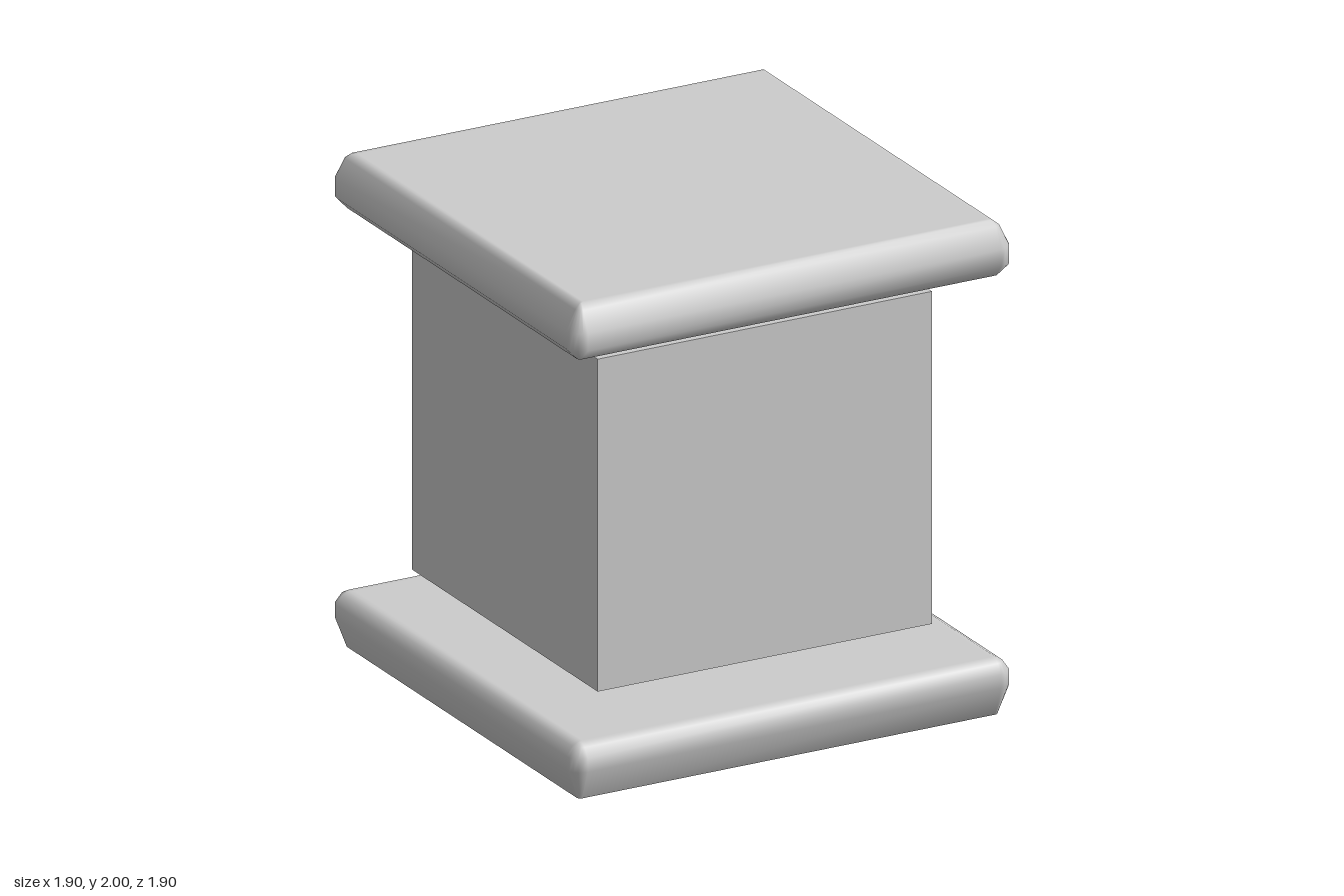
import * as THREE from 'three';

const material = new THREE.MeshStandardMaterial({ color: 0xcccccc });
const CORNER_STEPS = 5;
const CORE = 0.89; // centre of every corner arc, shared by all the loops

// Rounded-square loop with half-width w
function loop(w, y) {
  const core = Math.min(CORE, w - 0.005);
  const r = w - core;
  const points = [];
  for (let c = 0; c < 4; c++) {
    const mid = (c + 0.5) * Math.PI / 2;
    for (let s = 0; s <= CORNER_STEPS; s++) {
      const a = (c + s / CORNER_STEPS) * Math.PI / 2;
      points.push([
        Math.sign(Math.cos(mid)) * core + r * Math.cos(a),
        y,
        Math.sign(Math.sin(mid)) * core + r * Math.sin(a),
      ]);
    }
  }
  return points;
}

// Closed cushion-edged slab; profile is [halfWidth, y] from bottom to top
function slab(name, profile) {
  const loops = profile.map(([w, y]) => loop(w, y));
  const n = loops[0].length;
  const positions = loops.flat(2);
  const index = [];
  const last = (loops.length - 1) * n;
  const bottom = loops.length * n;
  const top = bottom + 1;
  positions.push(0, profile[0][1], 0, 0, profile[profile.length - 1][1], 0);
  for (let j = 0; j < n; j++) {
    const k = (j + 1) % n;
    for (let i = 0; i < last; i += n) {
      index.push(i + j, i + n + j, i + k, i + k, i + n + j, i + n + k);
    }
    index.push(bottom, j, k, top, last + k, last + j);
  }
  const geometry = new THREE.BufferGeometry();
  geometry.setAttribute('position', new THREE.Float32BufferAttribute(positions, 3));
  geometry.setIndex(index);
  geometry.computeVertexNormals();
  const mesh = new THREE.Mesh(geometry, material);
  mesh.name = name;
  return mesh;
}

export function createModel() {
  const group = new THREE.Group();
  group.name = 'pedestal';

  // Base slab, with the long slope underneath
  group.add(slab('baseSlab', [
    [0.88, 0], [0.905, 0.004], [0.95, 0.125], [0.95, 0.18], [0.925, 0.217], [0.9, 0.23], [0.88, 0.23],
  ]));

  // Square block floating between the slabs
  const block = new THREE.Mesh(new THREE.BoxGeometry(1.44, 1.345, 1.44), material);
  block.name = 'block';
  block.position.y = 1.0125;
  group.add(block);

  // Top slab, with the long slope above
  group.add(slab('topSlab', [
    [0.88, 1.777], [0.905, 1.78], [0.95, 1.828], [0.95, 1.9], [0.912, 1.98], [0.888, 2], [0.87, 2],
  ]));

  return group;
}
